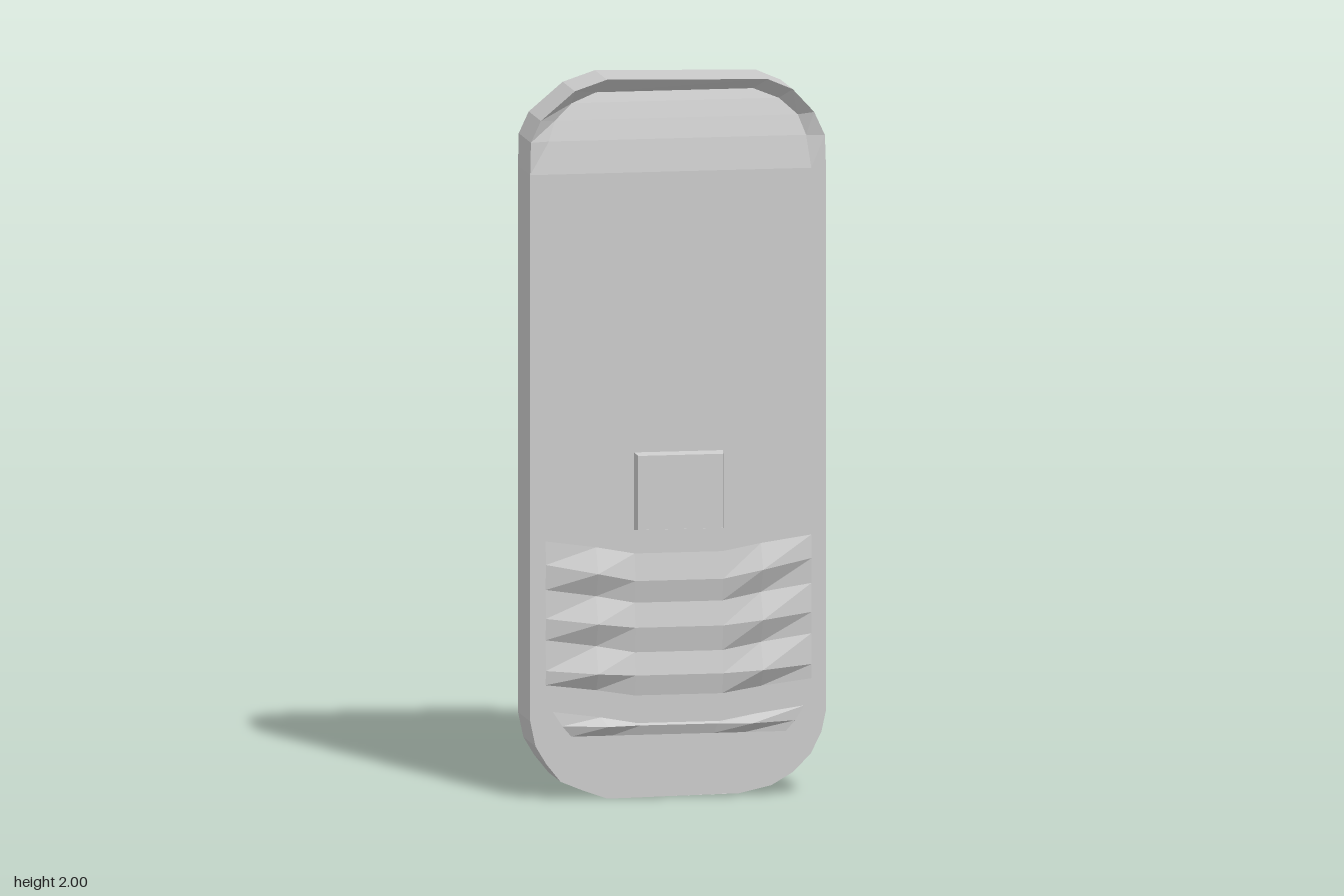
import * as THREE from 'three';

const FRONT = 0.075, BACK = -0.111;
const material = new THREE.MeshStandardMaterial({ color: 0xcccccc, flatShading: true, side: THREE.DoubleSide });

// Surface through rows of [x, y, z] points (rows downwards, columns to the right)
function sheet(name, rows) {
  const n = rows[0].length, index = [];
  for (let r = 0; r < rows.length - 1; r++) {
    for (let c = 0; c < n - 1; c++) {
      const a = r * n + c, b = a + 1, d = a + n, e = d + 1;
      index.push(a, d, b, b, d, e);
    }
  }
  const g = new THREE.BufferGeometry();
  g.setAttribute('position', new THREE.Float32BufferAttribute(rows.flat(2), 3));
  g.setIndex(index);
  const flat = g.toNonIndexed();
  flat.computeVertexNormals();
  const mesh = new THREE.Mesh(flat, material);
  mesh.name = name;
  return mesh;
}

// Outline from top to bottom on each side
const right = [[0.25, 1.99], [0.32, 1.96], [0.38, 1.895], [0.41, 1.83], [0.413, 1.74],
  [0.413, 0.23], [0.4, 0.17], [0.37, 0.11], [0.32, 0.06], [0.26, 0.025], [0.17, 0.005]];
const left = [[-0.2, 2], [-0.29, 1.97], [-0.385, 1.89], [-0.413, 1.83], [-0.415, 1.74],
  [-0.415, 0.22], [-0.4, 0.15], [-0.37, 0.1], [-0.33, 0.05], [-0.27, 0.025], [-0.2, 0]];
// Inner panel edge of the top rows: half width, y, sunk depth
const inner = [[0.22, 1.957, 0.06], [0.29, 1.93, 0.048], [0.34, 1.885, 0.032], [0.36, 1.83, 0.015], [0.372, 1.74, 0]];

// Face with a panel that dips inwards under the top rim
function face(name, z, sign) {
  const rows = right.map(([rx, ry], i) => {
    const [lx, ly] = left[i];
    const [ix, iy, d] = inner[i] || [null, null, 0];
    const zi = z - sign * d;
    const li = ix === null ? [lx + 0.04, ly, zi] : [-ix, iy, zi];
    const ri = ix === null ? [rx - 0.04, ry, zi] : [ix, iy, zi];
    return [[lx, ly, z], li, ri, [rx, ry, z]];
  });
  // Wall below the top edge
  const [tl, , , tr] = rows[0];
  rows.unshift([tl, tl, tr, tr]);
  return sheet(name, sign > 0 ? rows : rows.map((r) => [...r].reverse()));
}

// Keypad ridge: columns at x, three lines of y given as [side, centre]
function keyRow(name, top, crest, bottom, wTop, wBottom) {
  const columns = [[-1, 0, 0.004], [-0.62, 0.5, 0.035], [-0.33, 1, 0.013],
    [0.33, 1, 0.013], [0.62, 0.5, 0.035], [1, 0, 0.004]];
  const line = (y, w, high) => columns.map(([x, t, h]) =>
    [x * w, THREE.MathUtils.lerp(y[0], y[1], t), FRONT + 0.001 + (high ? h : 0)]);
  return sheet(name, [line(top, wTop, false), line(crest, (wTop + wBottom) / 2, true), line(bottom, wBottom, false)]);
}

export function createModel() {
  const model = new THREE.Group();

  // Body shell
  const loop = [...right, ...[...left].reverse(), right[0]];
  model.add(sheet('sideWall', [BACK, FRONT].map((z) => loop.map(([x, y]) => [x, y, z]))));
  model.add(face('frontFace', FRONT, 1));
  model.add(face('backFace', BACK, -1));

  // Raised open frame of the navigation key
  const ring = (w, h, z) => [[1, 1], [1, -1], [-1, -1], [-1, 1], [1, 1]].map(([sx, sy]) =>
    [sx * w, 0.853 + sy * h, z]);
  model.add(sheet('navigationKeyFrame', [ring(0.124, 0.108, FRONT), ring(0.119, 0.103, 0.11)]));

  // Keypad
  const keypad = new THREE.Group();
  keypad.name = 'keypad';
  keypad.add(
    keyRow('keyRow1', [0.72, 0.68], [0.655, 0.605], [0.585, 0.543], 0.372, 0.372),
    keyRow('keyRow2', [0.585, 0.543], [0.505, 0.475], [0.445, 0.405], 0.372, 0.372),
    keyRow('keyRow3', [0.445, 0.405], [0.36, 0.342], [0.32, 0.285], 0.372, 0.372),
    keyRow('keyRow4', [0.245, 0.208], [0.205, 0.203], [0.175, 0.175], 0.352, 0.3),
  );
  model.add(keypad);
  return model;
}
